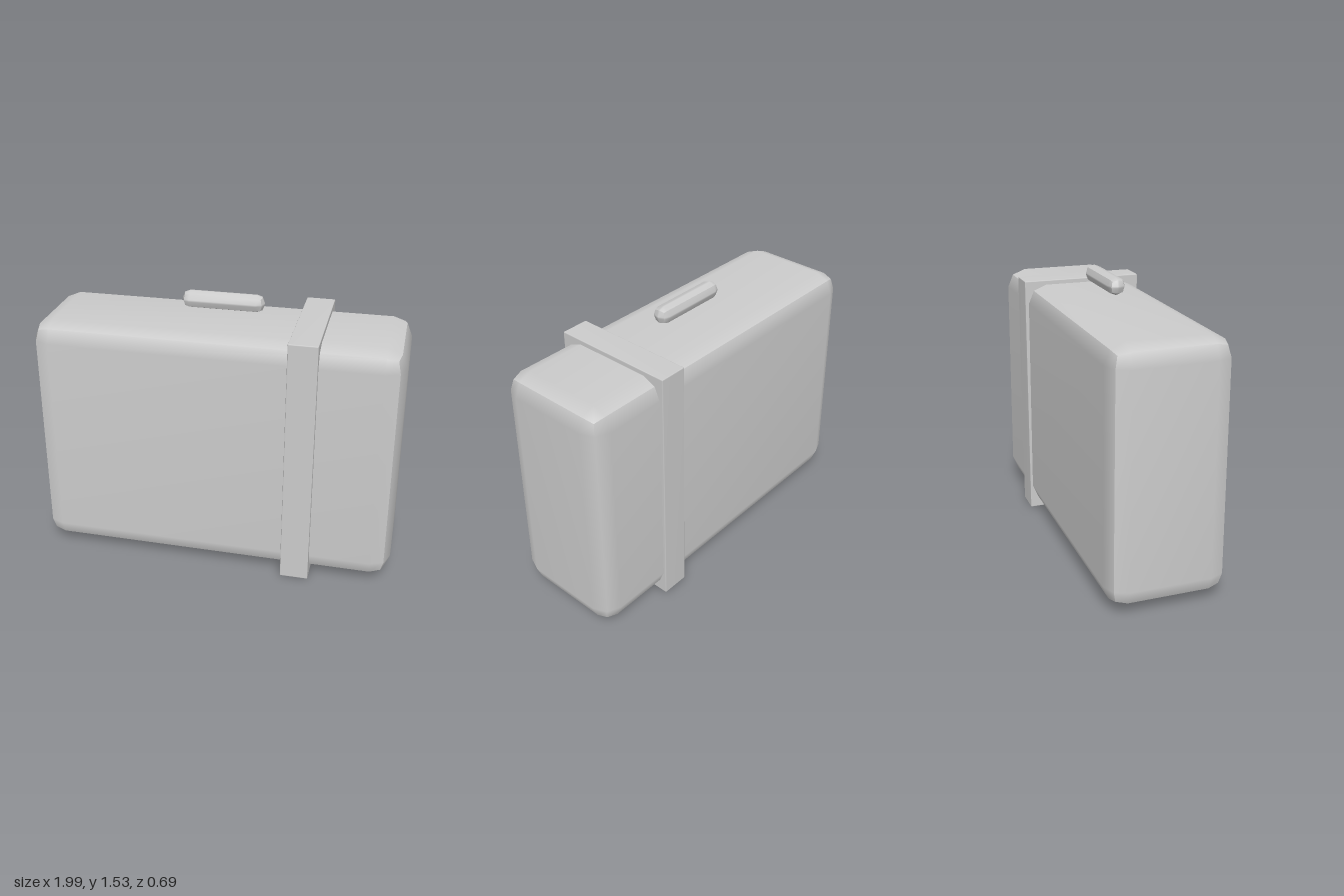
import * as THREE from 'three';

// Box with two-step bevels; sides stay separate, so each bevel creases along its middle.
function bevelBox(w, h, d, r) {
  const geo = new THREE.BoxGeometry(3, 3, 3, 3, 3, 3);
  const pos = geo.attributes.position;
  const p = new THREE.Vector3();
  const n = new THREE.Vector3();
  for (let i = 0; i < pos.count; i++) {
    p.fromBufferAttribute(pos, i);
    const s = [Math.sign(p.x), Math.sign(p.y), Math.sign(p.z)];
    n.set(...[p.x, p.y, p.z].map((v) => (Math.abs(v) > 1 ? Math.sign(v) : 0))).normalize();
    pos.setXYZ(i,
      s[0] * (w / 2 - r) + n.x * r,
      s[1] * (h / 2 - r) + n.y * r,
      s[2] * (d / 2 - r) + n.z * r);
  }
  geo.computeVertexNormals();
  return geo;
}

export function createModel() {
  const group = new THREE.Group();
  const grey = new THREE.MeshStandardMaterial({ color: 0xcccccc });
  grey.name = 'light grey';

  const add = (name, geo, x, y, z) => {
    const mesh = new THREE.Mesh(geo, grey);
    mesh.name = name;
    mesh.position.set(x, y, z);
    group.add(mesh);
  };

  // Case body, very slightly irregular
  const body = bevelBox(1.99, 1.345, 0.645, 0.105);
  const pos = body.attributes.position;
  for (let i = 0; i < pos.count; i++) {
    const x = pos.getX(i), y = pos.getY(i), z = pos.getZ(i);
    pos.setXYZ(i, x * (1 - 0.003 * y), y * (1 + 0.003 * x), z * (1 + 0.008 * x) - (z < 0 ? -0.005 * y : 0));
  }
  body.computeVertexNormals();
  add('caseBody', body, 0, 0.713, -0.002);

  // Strap round the case
  add('strap', bevelBox(0.157, 1.412, 0.686, 0.006), 0.479, 0.706, 0);

  // Carry handle floating above the lid
  add('handle', bevelBox(0.444, 0.094, 0.094, 0.042), 0, 1.481, -0.002);

  return group;
}
